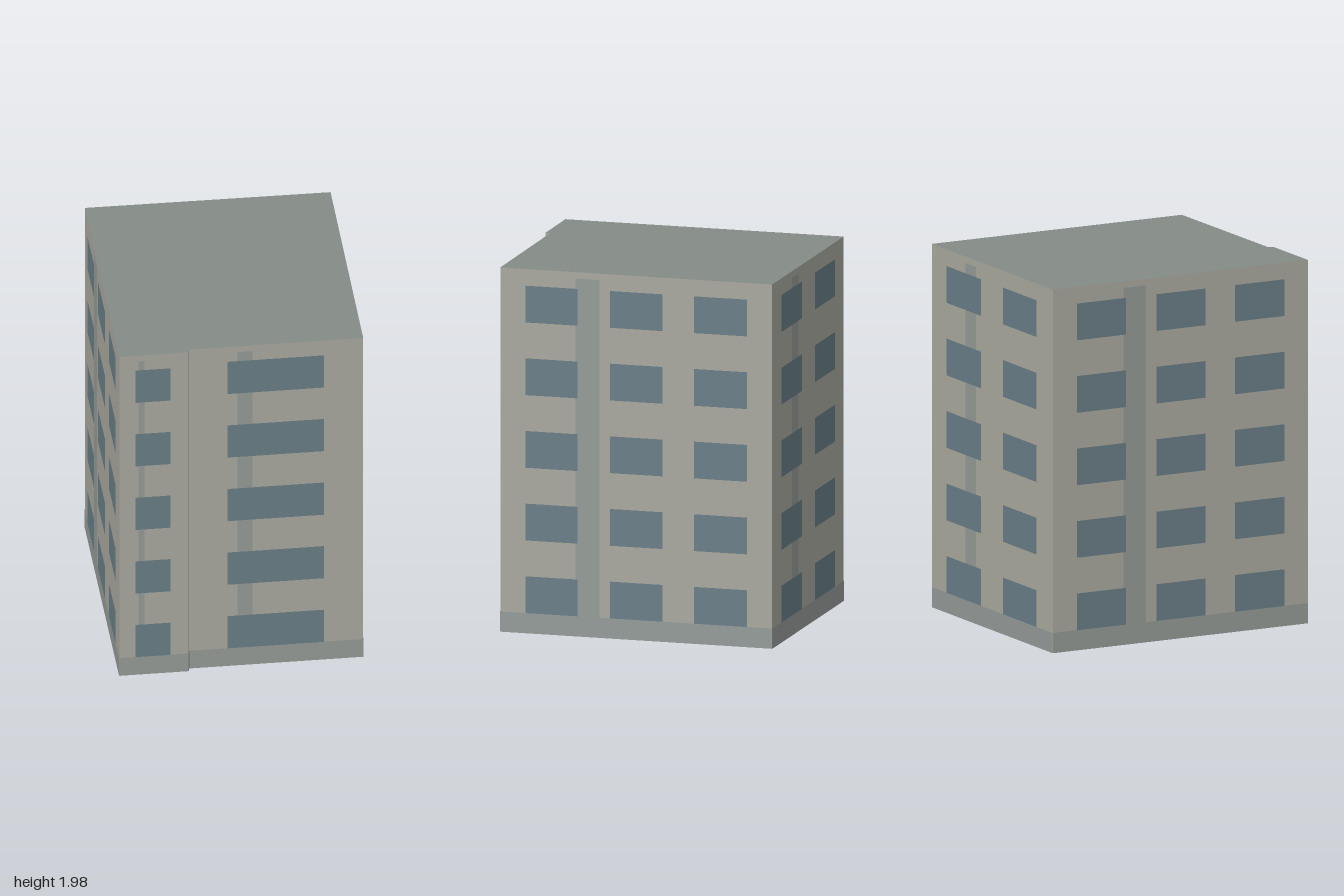
import * as THREE from 'three';

const HEIGHT = 1.98;
const PLINTH = 0.11;
const FLOORS = 5;

const paint = (color) => new THREE.MeshStandardMaterial({ color, side: THREE.DoubleSide });
const mats = {
  wall: paint(0xaaa99f),
  stain: paint(0x959b97),
  plinth: paint(0x959b98),
  glass: paint(0x697e87),
  roof: paint(0x848c88),
};

// Footprint corners [x, z], left to right as seen from outside
const outline = [
  [-0.993, 0.25], [-0.692, 0.467], [-0.671, 0.449], [0.088, 0.996], [0.993, -0.22], [-0.072, -0.998],
];

// Window spans along each wall, as fractions of its width
const three = [[0.094, 0.285], [0.405, 0.598], [0.714, 0.908]];
const windows = [
  [[0.23, 0.74]],
  [],
  [[0.22, 0.775]],
  three,
  [[0.125, 0.41], [0.59, 0.87]],
  three,
];

// Flat panel on a wall: u runs along its width, y is height, lift is the offset outwards
function panel(wall, name, mat, u0, u1, y0, y1, lift) {
  const mesh = new THREE.Mesh(new THREE.PlaneGeometry((u1 - u0) * wall.width, y1 - y0), mat);
  mesh.name = name;
  mesh.position.set(((u0 + u1) / 2 - 0.5) * wall.width, (y0 + y1) / 2, lift);
  wall.group.add(mesh);
}

function makeWall(a, b, spans) {
  const dx = b[0] - a[0], dz = b[1] - a[1];
  const wall = { group: new THREE.Group(), width: Math.hypot(dx, dz) };
  wall.group.name = 'facade';
  wall.group.position.set((a[0] + b[0]) / 2, 0, (a[1] + b[1]) / 2);
  wall.group.rotation.y = Math.atan2(-dz, dx);

  panel(wall, 'wall', mats.wall, 0, 1, 0, HEIGHT, 0);
  panel(wall, 'plinth', mats.plinth, 0, 1, 0, PLINTH, 0.0015);
  if (spans.length) panel(wall, 'verticalBand', mats.stain, 0.277, 0.365, PLINTH, 1.945, 0.0015);
  for (let i = 0; i < FLOORS; i++) {
    const y = 0.11 + i * 0.395;
    for (const [u0, u1] of spans) panel(wall, 'window', mats.glass, u0, u1, y, y + 0.2, 0.003);
  }
  return wall.group;
}

export function createModel() {
  const model = new THREE.Group();
  model.name = 'apartmentBlock';

  // Facades around the footprint, open underneath
  outline.forEach((a, i) => model.add(makeWall(a, outline[(i + 1) % outline.length], windows[i])));

  // Flat roof
  const shape = new THREE.Shape(outline.map(([x, z]) => new THREE.Vector2(x, -z)));
  const roof = new THREE.Mesh(new THREE.ShapeGeometry(shape).rotateX(-Math.PI / 2), mats.roof);
  roof.name = 'roof';
  roof.position.y = HEIGHT;
  model.add(roof);

  return model;
}
